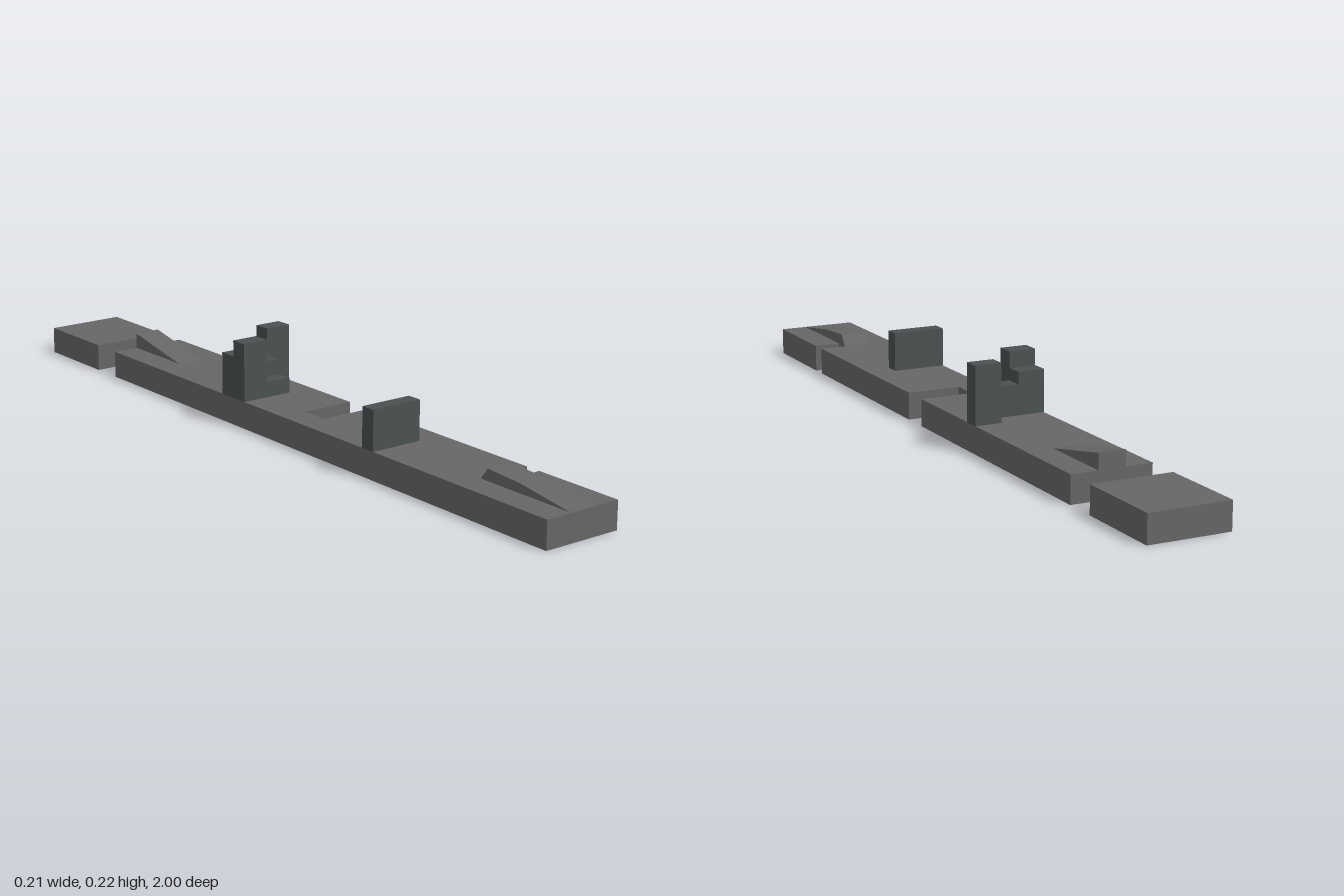
import * as THREE from 'three';

const HALF = 0.105;  // half width of the deck
const LANE = 0.035;  // half width of the middle lane
const TOP = 0.07;    // deck height

export function createModel() {
  const model = new THREE.Group();
  const deckMaterial = new THREE.MeshStandardMaterial({ color: 0x666666, flatShading: true });
  const blockMaterial = new THREE.MeshStandardMaterial({ color: 0x4b5050, flatShading: true });

  const add = (name, geometry, material) => {
    const mesh = new THREE.Mesh(geometry, material);
    mesh.name = name;
    model.add(mesh);
  };
  const toShape = (points) => new THREE.Shape(points.map(([a, b]) => new THREE.Vector2(a, b)));

  // Box given by its extents
  const box = (name, x0, x1, y0, y1, z0, z1, material = blockMaterial) => {
    const geometry = new THREE.BoxGeometry(x1 - x0, y1 - y0, z1 - z0);
    geometry.translate((x0 + x1) / 2, (y0 + y1) / 2, (z0 + z1) / 2);
    add(name, geometry, material);
  };

  // Ramp in the middle lane, extruded across x from a [z, y] profile
  const ramp = (name, profile) => {
    const geometry = new THREE.ExtrudeGeometry(toShape(profile), { depth: 2 * LANE, bevelEnabled: false });
    geometry.rotateY(-Math.PI / 2).translate(LANE, 0, 0);
    add(name, geometry, deckMaterial);
  };

  // Main deck: [x, z] outline with two notches cut into the left edge
  const outline = [
    [-HALF, -0.68], [HALF, -0.68],
    [HALF, 0.075], [-LANE, 0.075], [-LANE, 0.15], [HALF, 0.15],
    [HALF, 0.715], [LANE, 0.715], [LANE, 0.755], [HALF, 0.755],
    [HALF, 1], [-HALF, 1],
  ];
  const deck = new THREE.ExtrudeGeometry(toShape(outline.map(([x, z]) => [x, -z])), { depth: TOP, bevelEnabled: false });
  deck.rotateX(-Math.PI / 2);
  add('mainDeck', deck, deckMaterial);

  // Separate platform across the gap
  box('rearPlatform', -HALF, HALF, 0, TOP, -1, -0.765, deckMaterial);

  // Ramps
  ramp('frontRamp', [[1, TOP], [0.84, 0.093], [0.737, 0.099], [0.715, TOP]]);
  ramp('rearRamp', [[-0.475, TOP], [-0.68, 0.11], [-0.68, TOP]]);

  // Low wall
  box('lowWall', -HALF, LANE, TOP, 0.171, 0.383, 0.423);

  // Winding steps: two by two blocks of rising height
  box('firstStep', -LANE, LANE, TOP, 0.109, -0.128, -0.082);
  box('secondStep', -LANE, LANE, TOP, 0.147, -0.176, -0.128);
  box('thirdStep', -HALF, -LANE, TOP, 0.178, -0.176, -0.128);
  box('topStep', -HALF, -LANE, TOP, 0.219, -0.128, -0.082);

  // Pillar beside the steps
  box('pillar', LANE, HALF, TOP, 0.217, -0.221, -0.176);

  return model;
}
